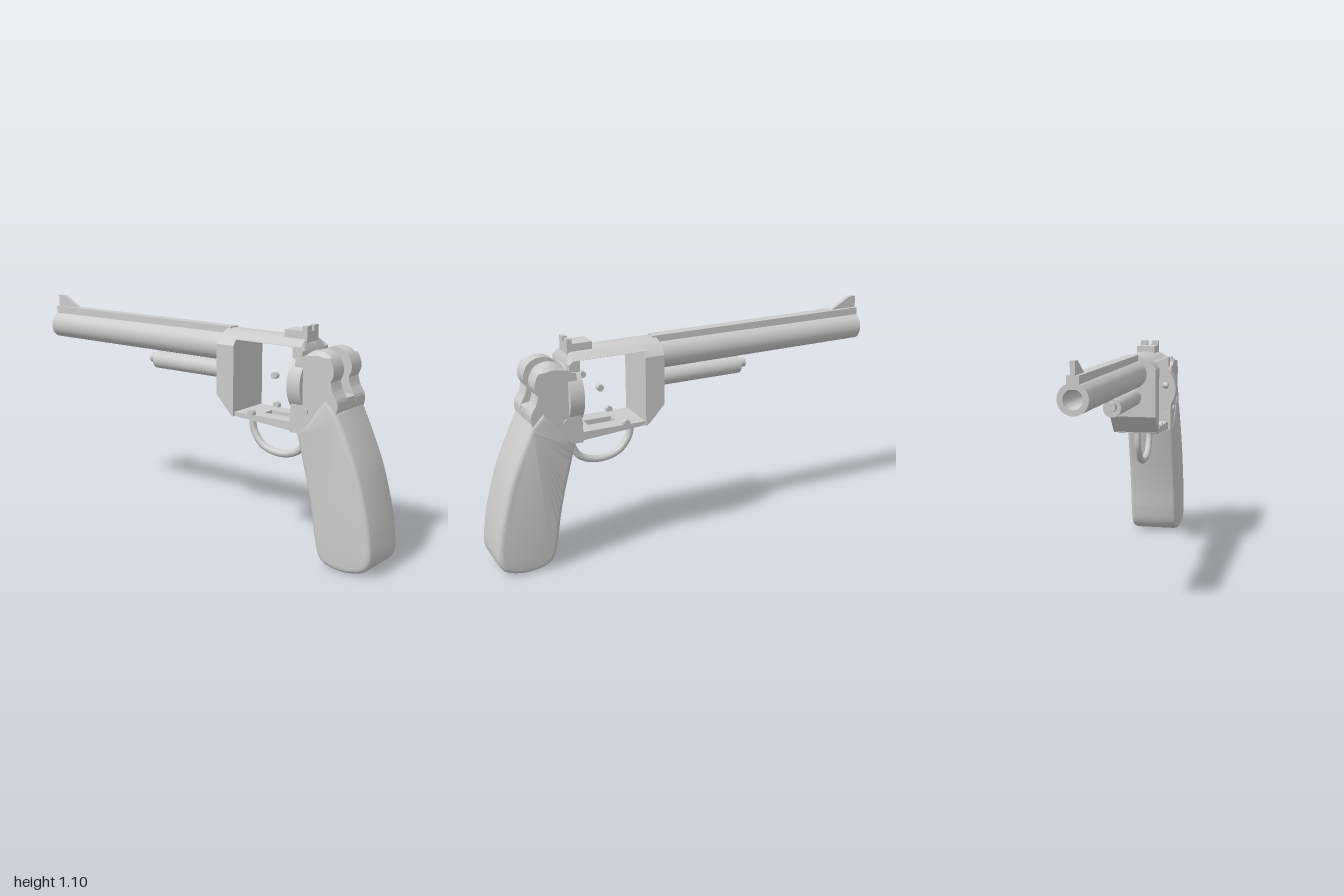
import * as THREE from 'three';
import { toCreasedNormals } from 'three/addons/utils/BufferGeometryUtils.js';

export function createModel() {
  const model = new THREE.Group();
  const mat = new THREE.MeshStandardMaterial({ color: 0xcccccc, side: THREE.DoubleSide });

  const add = (name, geo) => {
    const m = new THREE.Mesh(geo, mat);
    m.name = name;
    model.add(m);
    return m;
  };
  const poly = (pts) => new THREE.Shape(pts.map(([z, y]) => new THREE.Vector2(z, y)));
  const v2 = (pts) => pts.map(([z, y]) => new THREE.Vector2(z, y));

  // Extrude a side outline (z, y) across the width from x0 to x1; rule may reshape y
  const side = (name, shape, x0, x1, opts = {}, rule = null) => {
    const bevel = opts.bevelEnabled ? opts.bevelThickness : 0;
    let g = new THREE.ExtrudeGeometry(shape, {
      depth: x1 - x0 - 2 * bevel, bevelEnabled: false, curveSegments: 24, ...opts });
    g.rotateY(-Math.PI / 2).translate(x1 - bevel, 0, 0);
    if (rule) {
      const p = g.attributes.position;
      for (let i = 0; i < p.count; i++) p.setY(i, rule(p.getX(i), p.getY(i)));
    }
    return add(name, toCreasedNormals(g, 0.6));
  };
  const box = (name, x0, x1, y0, y1, z0, z1) =>
    add(name, new THREE.BoxGeometry(x1 - x0, y1 - y0, z1 - z0)
      .translate((x0 + x1) / 2, (y0 + y1) / 2, (z0 + z1) / 2));
  const rod = (name, r, y, z0, z1, seg = 48) =>
    add(name, new THREE.CylinderGeometry(r, r, z1 - z0, seg)
      .rotateX(Math.PI / 2).translate(0, y, (z0 + z1) / 2));

  // Barrel with a bored muzzle
  const barrel = new THREE.LatheGeometry(v2([
    [0, 0.06], [0.036, 0.06], [0.036, 1.1], [0.042, 1.11], [0.042, 1.145],
    [0.067, 1.145], [0.071, 0], [0, 0]]), 48);
  barrel.rotateX(-Math.PI / 2).translate(0, 0.945, 0.145);
  add('barrel', toCreasedNormals(barrel, 0.6));
  box('barrelRib', -0.027, 0.027, 0.985, 1.042, -1, 0.16);
  rod('ejectorHousing', 0.043, 0.828, -0.315, 0.16);
  rod('ejectorTip', 0.024, 0.835, -0.35, -0.31, 24);

  // Sights
  side('frontSight', poly([[-0.845, 1.035], [-0.96, 1.1], [-0.998, 1.1], [-0.998, 1.035]]), -0.011, 0.011);
  box('rearSightBase', -0.047, 0.047, 1.015, 1.064, 0.475, 0.597);
  for (const s of [-1, 1])
    box('rearSightBlade', Math.min(s * 0.011, s * 0.047), Math.max(s * 0.011, s * 0.047), 1.06, 1.088, 0.572, 0.597);

  // Frame around the open window, with a rounded top
  const arc = (x) => 0.9 + Math.sqrt(Math.max(0, 0.137 ** 2 - x * x));
  side('frameFront', poly([[0.143, 1.04], [0.24, 1.04], [0.24, 0.635], [0.225, 0.643], [0.143, 0.73]]),
    -0.117, 0.117, { steps: 20 }, (x, y) => Math.min(y, arc(x)));
  side('topStrap', poly([[0.23, 1], [0.23, 1.04], [0.575, 1.04], [0.592, 1.025], [0.612, 0.985], [0.612, 0.95], [0.56, 0.95], [0.56, 1]]),
    -0.107, 0.107, { steps: 20 }, (x, y) => (y > 1 ? Math.min(y, Math.max(1.001, arc(x))) : y));

  // Bottom strap in pieces that leave the trigger slot open
  const strapBottom = (z) => 0.637 - 0.07 * (z - 0.24);
  const strap = (z0, z1, x0, x1) => side('bottomStrap',
    poly([[z0, 0.656], [z1, 0.656], [z1, strapBottom(z1)], [z0, strapBottom(z0)]]), x0, x1);
  strap(0.23, 0.61, -0.107, -0.03);
  strap(0.23, 0.61, 0.03, 0.107);
  strap(0.23, 0.36, -0.03, 0.03);
  strap(0.5, 0.61, -0.03, 0.03);

  // Round recoil shield closing the back of the window
  rod('recoilShield', 0.147, 0.83, 0.556, 0.625, 64);

  // Rear frame: two humped cheeks and a lower middle that forms the hammer slot
  const cheek = poly([[0.56, 0.612], [0.62, 0.612], [0.68, 0.68], [0.75, 0.76], [0.8, 0.725], [0.806, 0.75]]);
  cheek.splineThru(v2([[0.803, 0.785], [0.78, 0.825], [0.768, 0.865]]));
  cheek.splineThru(v2([[0.782, 0.9], [0.777, 0.94], [0.75, 0.98], [0.7, 0.997], [0.65, 0.985], [0.612, 0.955]]));
  cheek.lineTo(0.585, 0.95);
  cheek.lineTo(0.56, 0.7);
  for (const [a, b] of [[-0.12, -0.034], [0.034, 0.12]])
    side('rearCheek', cheek, a, b, { steps: 9 },
      (x, y) => (y > 0.97 ? Math.max(0.97, y - Math.max(0, Math.abs(x) - 0.1)) : y));
  side('slotFloor', poly([[0.56, 0.612], [0.62, 0.612], [0.75, 0.76], [0.8, 0.725], [0.806, 0.75],
    [0.802, 0.788], [0.71, 0.8], [0.645, 0.88], [0.62, 0.96], [0.575, 0.96]]), -0.034, 0.034);

  // Grip with softened edges
  const grip = poly([[0.748, 0.79], [0.807, 0.728]]);
  grip.splineThru(v2([[0.868, 0.6], [0.925, 0.46], [0.972, 0.29], [0.997, 0.14], [0.992, 0.068],
    [0.955, 0.024], [0.87, 0.004], [0.78, 0.014], [0.725, 0.052], [0.7, 0.14],
    [0.683, 0.25], [0.658, 0.37], [0.622, 0.51], [0.595, 0.612]]));
  grip.lineTo(0.65, 0.665);
  grip.lineTo(0.71, 0.75);
  side('grip', grip, -0.128, 0.128, { bevelEnabled: true, bevelThickness: 0.028,
    bevelSize: 0.024, bevelOffset: -0.024, bevelSegments: 5, curveSegments: 50 });

  // Trigger guard loop
  const loop = new THREE.CatmullRomCurve3([[0.57, 0.64], [0.578, 0.575], [0.535, 0.495], [0.435, 0.463],
    [0.335, 0.487], [0.28, 0.555], [0.27, 0.645]].map(([z, y]) => new THREE.Vector3(0, y, z)));
  add('triggerGuard', new THREE.TubeGeometry(loop, 48, 0.017, 14));

  // Pins on both sides
  for (const s of [-1, 1])
    for (const [z, y, x] of [[0.468, 0.86, 0.108], [0.338, 0.665, 0.105], [0.64, 0.72, 0.115]])
      add('pin', new THREE.CylinderGeometry(0.016, 0.016, 0.025, 20)
        .rotateZ(Math.PI / 2).translate(s * x, y, z));

  return model;
}
